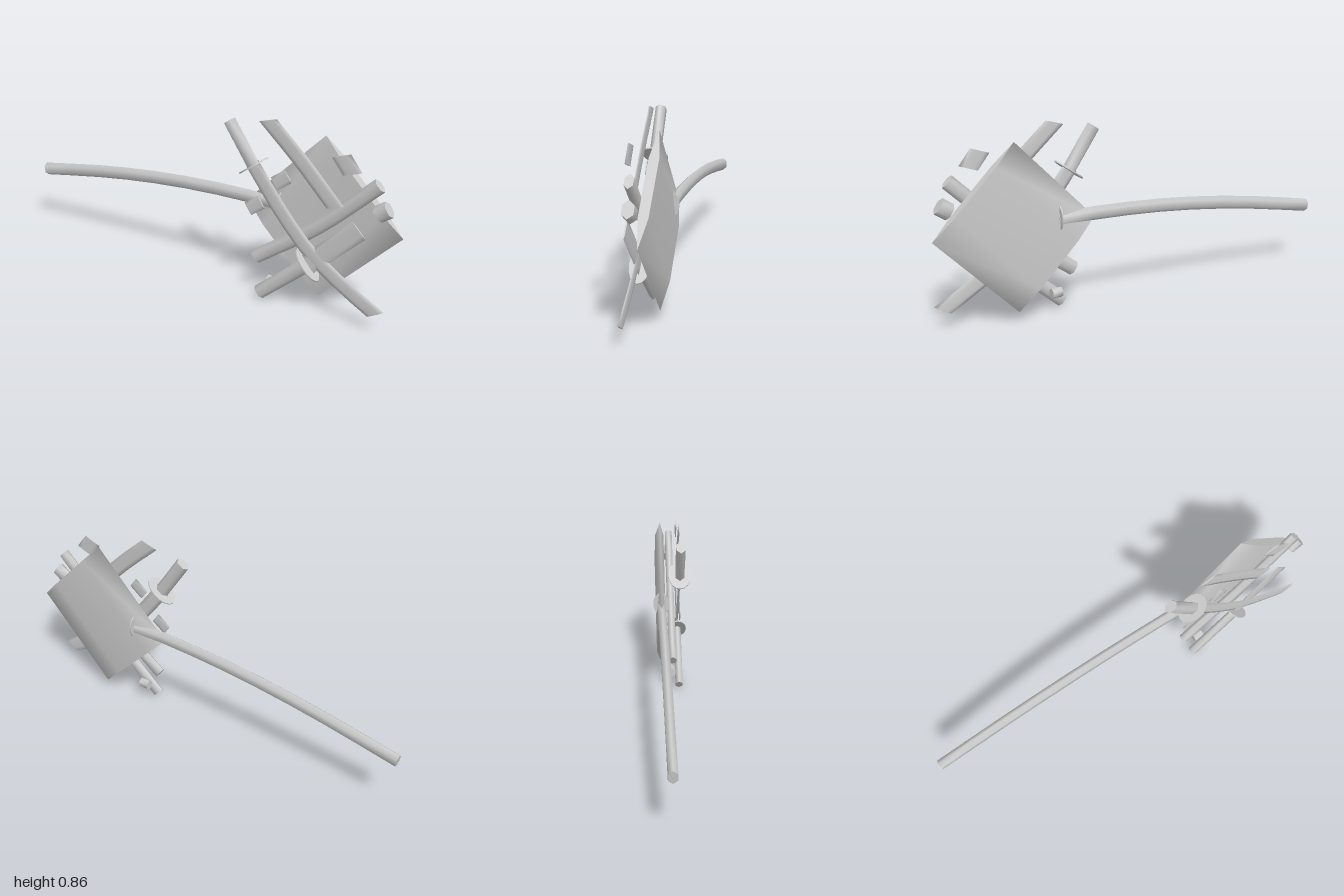
import * as THREE from 'three';

const material = new THREE.MeshStandardMaterial({ color: 0xcccccc, side: THREE.DoubleSide });
const SIDES = 6;

// Flattened hexagonal bar swept along a path in the xy plane at depth z.
// slant skews the start and end cuts.
function bar(name, points, halfWidth, halfDepth, z, slant = [0, 0]) {
  const straight = points.length === 2;
  const curve = new THREE.CatmullRomCurve3(points.map(([x, y]) => new THREE.Vector3(x, y, z)));
  const steps = straight ? 1 : 8;
  const pos = [], index = [];
  for (let i = 0; i <= steps; i++) {
    const u = i / steps, p = curve.getPointAt(u), t = curve.getTangentAt(u);
    const skew = i === 0 ? slant[0] : i === steps ? slant[1] : 0;
    for (let k = 0; k < SIDES; k++) {
      const a = (k / SIDES) * Math.PI * 2;
      const s = Math.cos(a) * halfWidth, d = (Math.sin(a) / Math.sin(Math.PI / 3)) * halfDepth;
      pos.push(p.x - t.y * s + t.x * s * skew, p.y + t.x * s + t.y * s * skew, p.z + d);
    }
  }
  for (let i = 0; i < steps; i++) {
    for (let k = 0; k < SIDES; k++) {
      const a = i * SIDES + k, b = i * SIDES + ((k + 1) % SIDES);
      index.push(a, b, a + SIDES, b, b + SIDES, a + SIDES);
    }
  }
  // Flat end caps with their own vertices
  for (const end of [0, steps]) {
    const first = pos.length / 3;
    pos.push(...pos.slice(end * SIDES * 3, (end + 1) * SIDES * 3));
    for (let k = 1; k < SIDES - 1; k++) {
      if (end) index.push(first, first + k, first + k + 1);
      else index.push(first, first + k + 1, first + k);
    }
  }
  const geometry = new THREE.BufferGeometry();
  geometry.setAttribute('position', new THREE.Float32BufferAttribute(pos, 3));
  geometry.setIndex(index);
  geometry.computeVertexNormals();
  const mesh = new THREE.Mesh(geometry, material);
  mesh.name = name;
  return mesh;
}

// Thin oval guard whose axis lies in the xy plane at the given angle
function guard(name, x, y, z, radius, depth, angle) {
  const geometry = new THREE.CylinderGeometry(radius, radius, 0.006, 16);
  geometry.scale(1, 1, depth / radius);
  const mesh = new THREE.Mesh(geometry, material);
  mesh.position.set(x, y, z);
  mesh.rotation.z = angle - Math.PI / 2;
  mesh.name = name;
  return mesh;
}

export function createModel() {
  const model = new THREE.Group();
  model.name = 'swordBundle';

  // Broad back panel, curved pole and its collar
  const c = [0.617, 0.43], h = 0.19;
  model.add(
    bar('backPanel', [[c[0] - h, c[1] - h], [c[0] + h, c[1] + h]], 0.268, 0.021, -0.05),
    bar('curvedPole', [[-0.992, 0.303], [-0.62, 0.37], [-0.3, 0.413], [0, 0.437], [0.3, 0.445], [0.42, 0.44]],
      0.032, 0.02, -0.05),
    guard('poleCollar', 0.415, 0.45, -0.05, 0.058, 0.04, 0)
  );

  // Long sword running down to the right
  model.add(
    bar('longHilt', [[0.19, 0.818], [0.317, 0.635]], 0.034, 0.021, 0.037),
    guard('longGuard', 0.317, 0.635, 0.036, 0.079, 0.054, -0.95),
    bar('longBlade', [[0.31, 0.645], [0.45, 0.465], [0.6, 0.305], [0.76, 0.193], [0.935, 0.095]],
      0.037, 0.004, 0.036, [0, 0.6])
  );

  // Short sword running up to the right
  model.add(
    bar('shortHilt', [[0.36, 0.029], [0.602, 0.237]], 0.033, 0.018, 0.037),
    guard('shortGuard', 0.602, 0.237, 0.037, 0.084, 0.046, 0.7),
    bar('shortBlade', [[0.602, 0.237], [0.835, 0.46]], 0.046, 0.003, 0.036)
  );

  // Loose blade piece at the top
  model.add(bar('looseBlade', [[0.383, 0.855], [0.54, 0.715], [0.72, 0.535]], 0.038, 0.003, 0.036, [0.64, 0.5]));

  // Scabbard behind the blades
  model.add(bar('scabbard', [[0.318, 0.183], [0.62, 0.405], [0.9, 0.665]], 0.033, 0.018, 0.003));

  // Thin collars and short fittings: start, end, half width, half depth, depth position, cuts
  const fittings = [
    ['collarPlate', [0.425, 0.575], [0.49, 0.623], 0.032, 0.003, 0.036, [0, 0]],
    ['collarPlate', [0.293, 0.425], [0.36, 0.472], 0.032, 0.003, 0.036, [0, 0]],
    ['tipPlate', [0.735, 0.77], [0.79, 0.7], 0.043, 0.003, 0.036, [0.35, 0.35]],
    ['scabbardCap', [0.895, 0.535], [0.945, 0.568], 0.038, 0.024, -0.003, [0, 0]],
    ['scabbardCap', [0.385, 0.085], [0.435, 0.085], 0.024, 0.02, -0.001, [0, 0]],
  ];
  for (const [name, a, b, width, depth, z, cut] of fittings) {
    model.add(bar(name, [a, b], width, depth, z, cut));
  }
  return model;
}
